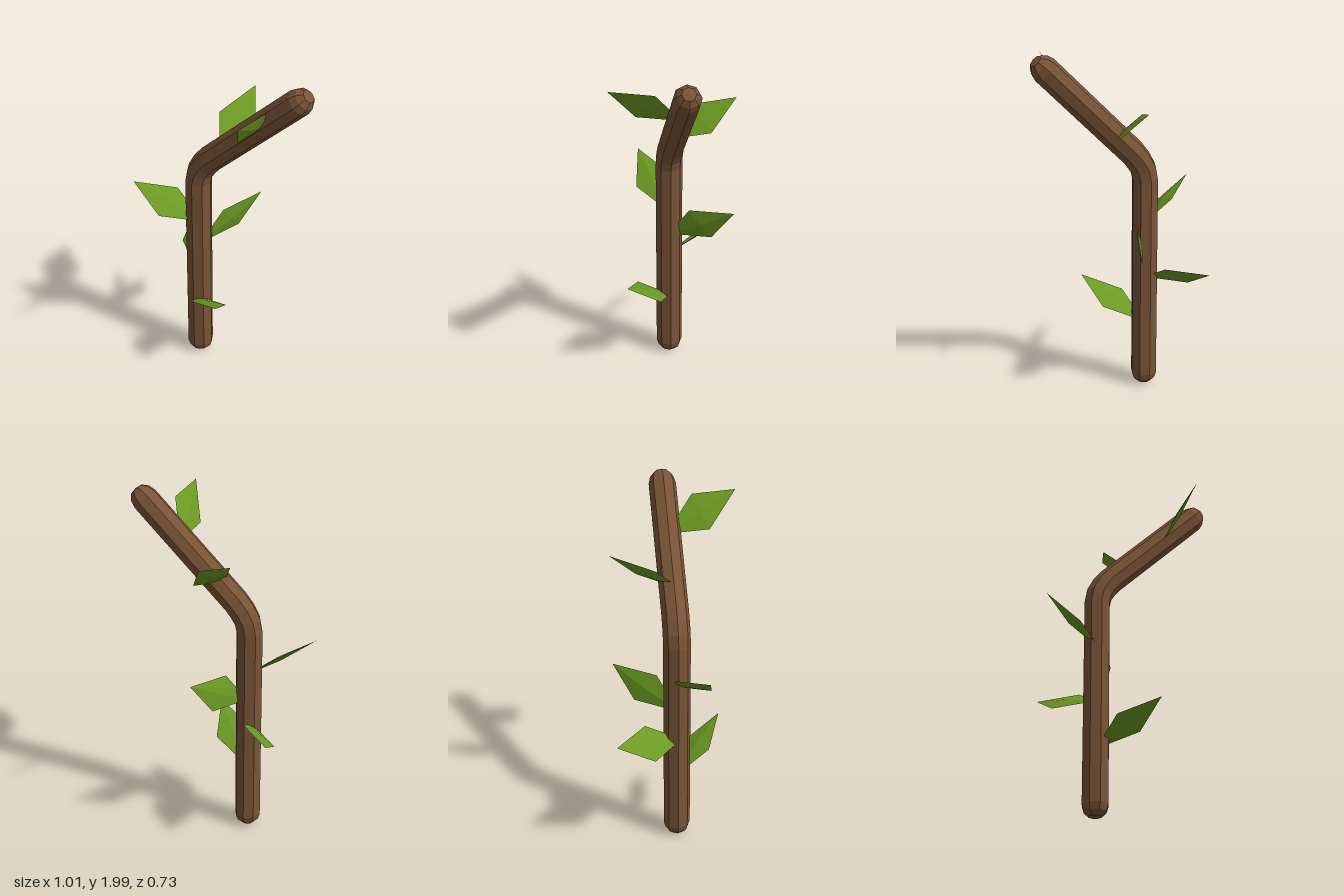
import * as THREE from 'three';

const bark = new THREE.MeshStandardMaterial({ name: 'barkBrown', color: 0x7a5437, flatShading: true });
const green = new THREE.MeshStandardMaterial({ name: 'leafGreen', color: 0x6b9a22, flatShading: true });

const SIDES = 8, STEM_Z = -0.012;

function mesh(name, positions, index, material) {
  const g = new THREE.BufferGeometry();
  g.setAttribute('position', new THREE.Float32BufferAttribute(positions, 3));
  g.setIndex(index);
  g.computeVertexNormals();
  const m = new THREE.Mesh(g, material);
  m.name = name;
  return m;
}

// Octagonal rings swept along a bent path; each ring is [x, y, lean in degrees, radius]
function createStem() {
  const rings = [
    [-0.168, 0.003, 0, 0], [-0.168, 0.008, 0, 0.037], [-0.168, 0.034, 0, 0.064], [-0.168, 0.07, 0, 0.075],
    [-0.168, 1.24, 0, 0.075], [-0.155, 1.305, 15, 0.075], [-0.127, 1.355, 30, 0.075], [-0.09, 1.403, 45, 0.075],
    [0.425, 1.92, 45, 0.075], [0.453, 1.948, 45, 0.064], [0.474, 1.969, 45, 0.037], [0.478, 1.973, 45, 0],
  ];
  const pos = [], idx = [];
  rings.forEach(([x, y, lean, r], i) => {
    const a = THREE.MathUtils.degToRad(lean);
    for (let j = 0; j < SIDES; j++) {
      const t = (j / SIDES) * Math.PI * 2, side = r * Math.cos(t);
      pos.push(x + side * Math.cos(a), y - side * Math.sin(a), STEM_Z + r * Math.sin(t));
      if (i === rings.length - 1) continue;
      const p = i * SIDES + j, q = i * SIDES + (j + 1) % SIDES;
      if (i < rings.length - 2) idx.push(p, p + SIDES, q + SIDES);
      else idx.push(p, p + SIDES, q);
      if (i > 0 && i < rings.length - 2) idx.push(p, q + SIDES, q);
    }
  });
  return mesh('stem', pos, idx, bark);
}

// Thin diamond leaf: two side corners and a tip, rooted inside the stem
function createLeaf(name, sideA, sideB, tipPoint) {
  const [u, v, tip] = [sideA, sideB, tipPoint].map((p) => new THREE.Vector3(...p));
  const base = u.clone().add(v).sub(tip);
  const normal = u.clone().sub(base).cross(tip.clone().sub(base)).normalize().multiplyScalar(0.012);
  const mid = u.clone().add(v).multiplyScalar(0.5);
  const points = [base, u, tip, v, mid.clone().add(normal), mid.clone().sub(normal)];
  const idx = [];
  for (let i = 0; i < 4; i++) {
    const n = (i + 1) % 4;
    idx.push(i, n, 4, n, i, 5);
  }
  return mesh(name, points.flatMap((p) => p.toArray()), idx, green);
}

export function createModel() {
  const model = new THREE.Group();
  model.name = 'leafyBranch';
  model.add(createStem());

  // Leaves from the bottom up: side corner, side corner, tip
  const leaves = [
    [[-0.123, 0.521, 0.177], [0.053, 0.484, 0.07], [0.095, 0.62, 0.265]],
    [[-0.199, 0.76, -0.193], [-0.37, 0.636, -0.156], [-0.386, 0.752, -0.365]],
    [[-0.069, 1.0, -0.111], [-0.037, 0.833, -0.233], [0.048, 1.024, -0.342]],
    [[-0.323, 1.108, -0.043], [-0.328, 1.035, 0.153], [-0.51, 1.183, 0.117]],
    [[-0.093, 1.643, -0.114], [0.081, 1.55, -0.2], [-0.006, 1.708, -0.35]],
    [[0.312, 1.897, 0.133], [0.2, 1.733, 0.217], [0.284, 1.923, 0.367]],
  ];
  leaves.forEach(([a, b, tip], i) => model.add(createLeaf(`leaf${i + 1}`, a, b, tip)));
  return model;
}
